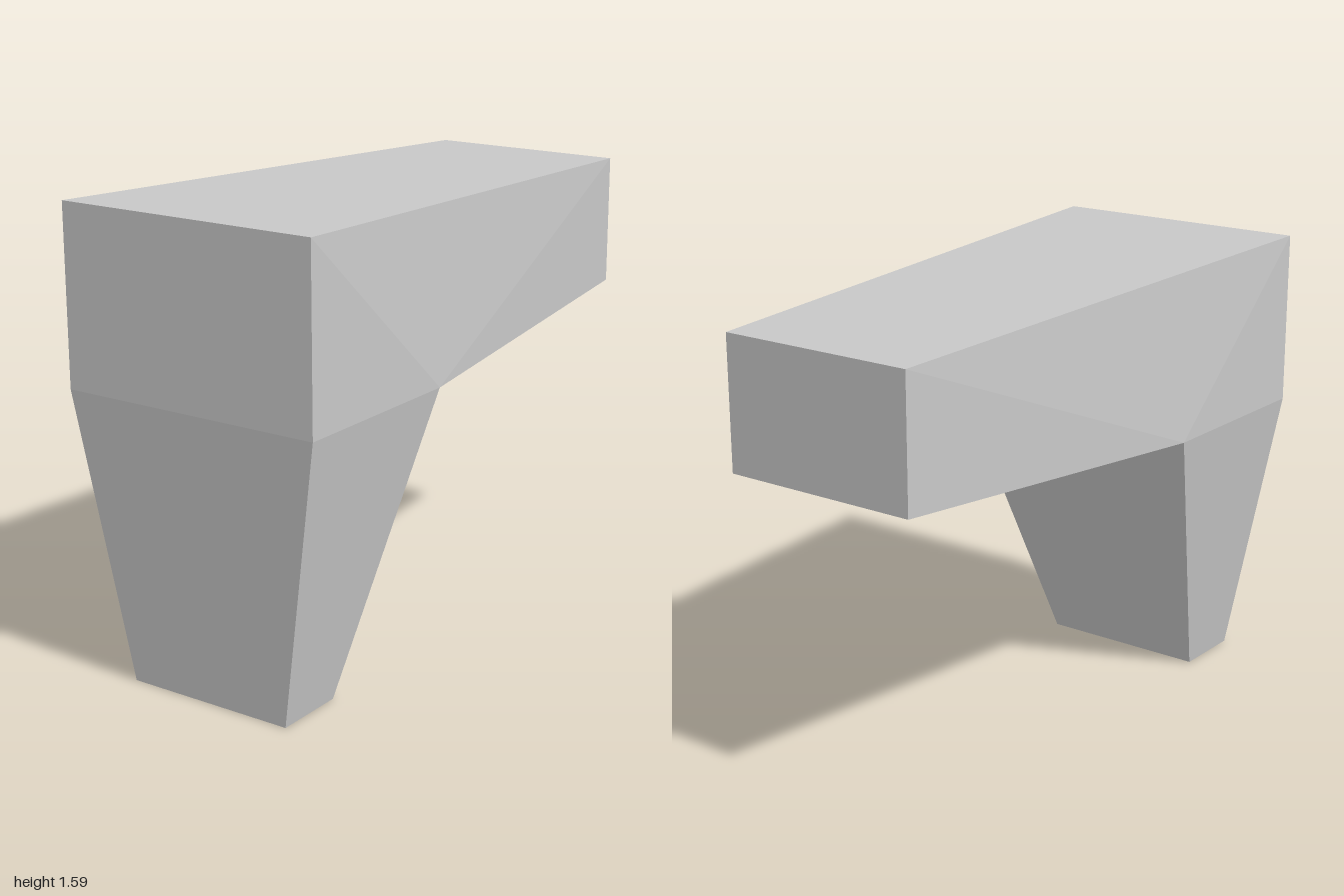
import * as THREE from 'three';

// Skins a mirrored solid from its +x side outline (anticlockwise seen from +x).
// The edge starting at index openEdge is left open, where two parts join.
function mirroredSolid(outline, openEdge) {
  const pos = [];
  const flip = ([x, y, z]) => [-x, y, z];
  const tri = (a, b, c) => pos.push(...a, ...b, ...c);
  // side faces
  for (let i = 1; i < outline.length - 1; i++) {
    const [a, b, c] = [outline[0], outline[i], outline[i + 1]];
    tri(a, b, c);
    tri(flip(a), flip(c), flip(b));
  }
  // faces running across from side to side
  outline.forEach((p, i) => {
    if (i === openEdge) return;
    const q = outline[(i + 1) % outline.length];
    tri(q, p, flip(p));
    tri(q, flip(p), flip(q));
  });
  const geometry = new THREE.BufferGeometry();
  geometry.setAttribute('position', new THREE.Float32BufferAttribute(pos, 3));
  geometry.computeVertexNormals();
  return geometry;
}

export function createModel() {
  const group = new THREE.Group();
  group.name = 'bracket';
  const grey = new THREE.MeshStandardMaterial({ color: 0xc8c8c8 });
  grey.name = 'light grey';

  const add = (name, outline, openEdge) => {
    const mesh = new THREE.Mesh(mirroredSolid(outline, openEdge), grey);
    mesh.name = name;
    group.add(mesh);
  };

  // shared joint between beam and leg
  const jointBack = [0.474, 0.985, 0.322];
  const jointFront = [0.474, 0.985, 1];

  // tapering horizontal beam
  add('beam', [
    jointBack, [0.357, 1.06, -1], [0.357, 1.515, -1], [0.474, 1.59, 1], jointFront,
  ], 4);

  // leg narrowing to the foot
  add('leg', [
    jointBack, jointFront, [0.306, 0, 0.93], [0.306, 0, 0.678],
  ], 0);

  return group;
}
